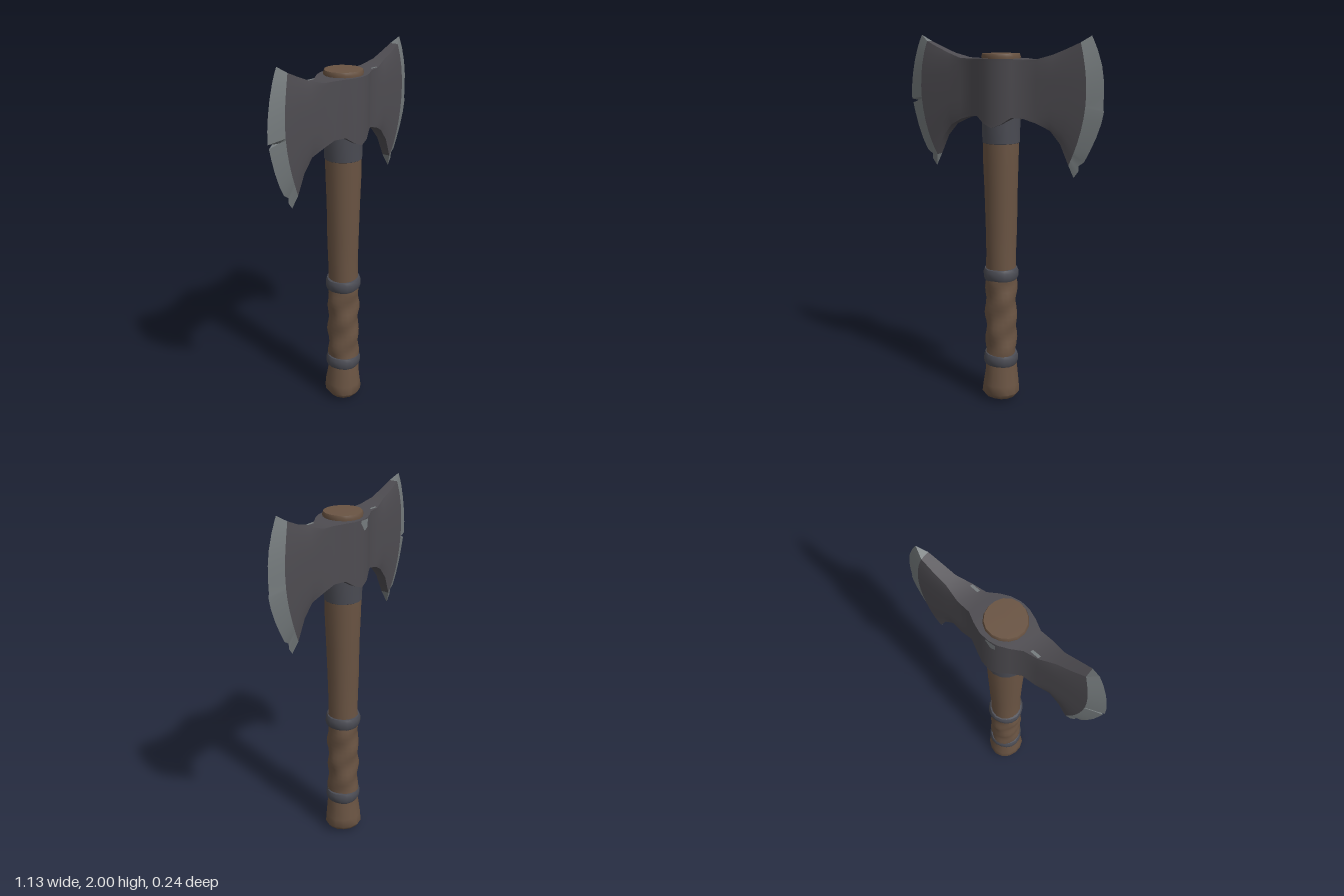
import * as THREE from 'three';
import { mergeVertices, toCreasedNormals } from 'three/addons/utils/BufferGeometryUtils.js';

const material = (name, color, side = THREE.FrontSide) => {
  const m = new THREE.MeshStandardMaterial({ color, side });
  m.name = name;
  return m;
};

// Lathe whose radius is roughened by a rule(angle, y)
function turned(profile, segments, rough = () => 0) {
  let geo = new THREE.LatheGeometry(profile.map(([r, y]) => new THREE.Vector2(r, y)), segments);
  geo.deleteAttribute('uv');
  geo.deleteAttribute('normal');
  const p = geo.attributes.position;
  for (let i = 0; i < p.count; i++) {
    const x = p.getX(i), y = p.getY(i), z = p.getZ(i), r = Math.hypot(x, z);
    if (r < 0.01) continue;
    const k = 1 + rough(Math.atan2(z, x), y) / r;
    p.setXYZ(i, x * k, y, z * k);
  }
  geo = mergeVertices(geo, 1e-4);
  return toCreasedNormals(geo, 0.8);
}

// Skin stretched over a row of closed cross-section loops
function skin(loops) {
  const n = loops[0].length, pos = loops.flat(2), index = [];
  for (let i = 0; i < loops.length - 1; i++) {
    for (let j = 0; j < n; j++) {
      const k = (j + 1) % n;
      const a = i * n + j, b = a + n, c = (i + 1) * n + k, d = i * n + k;
      index.push(a, b, c, a, c, d);
    }
  }
  const geo = new THREE.BufferGeometry();
  geo.setAttribute('position', new THREE.Float32BufferAttribute(pos, 3));
  geo.setIndex(index);
  return toCreasedNormals(geo, 0.6);
}

// Head sections from hub to cutting edge:
// bottom x, bottom y, top x, top y, outward bulge, half thickness
const BODY = [
  [0, 1.54, 0, 1.885, 0, 0.118],
  [0.05, 1.56, 0.05, 1.885, 0, 0.111],
  [0.1, 1.595, 0.1, 1.885, 0, 0.09],
  [0.15, 1.59, 0.15, 1.882, 0, 0.061],
  [0.22, 1.57, 0.22, 1.885, 0, 0.054],
  [0.29, 1.535, 0.3, 1.908, 0.005, 0.047],
  [0.345, 1.47, 0.375, 1.938, 0.025, 0.041],
  [0.39, 1.365, 0.442, 1.968, 0.062, 0.033],
];
const EDGE = [0.41, 1.3, 0.49, 2.0, 0.11, 0];
const ROWS = [0, 0.05, 0.09, 0.12, 0.2, 0.3, 0.4, 0.482, 0.496, 0.512, 0.6, 0.7, 0.8, 0.9, 0.96, 1];

function section([bx, by, tx, ty, bulge, t], side) {
  const front = ROWS.map((v, j) => {
    let x = bx + (tx - bx) * v + bulge * 4 * v * (1 - v);
    const y = by + (ty - by) * v;
    if (t === 0) {
      // worn cutting edge: small dents, a low nick and one deep notch
      x += 0.004 * Math.sin(j * 7.3 + side) * Math.sin(Math.PI * v);
      if (v === 0.09) x -= 0.018;
      if (side < 0 && v === 0.496) x = 0.488;
    }
    const taper = bx > 0.25 ? 1 - 0.3 * (2 * v - 1) ** 4 : 1;
    return [side * x, y, t * taper];
  });
  const back = front.map(([x, y, z]) => [x, y, -z]).reverse();
  return [...front, ...back];
}

export function createModel() {
  const wood = material('brown wood', 0x6a5443);
  const iron = material('dark iron', 0x4e4c51);
  const steel = material('worn steel', 0x757b7d);
  const strap = material('blue grey band', 0x4a4b53);

  const axe = new THREE.Group();
  axe.name = 'doubleAxe';
  const add = (name, geo, mat, parent = axe) => {
    const mesh = new THREE.Mesh(geo, mat);
    mesh.name = name;
    parent.add(mesh);
    return mesh;
  };

  // Handle
  const handle = new THREE.Group();
  handle.name = 'handle';
  handle.position.set(-0.005, 0, 0.003);
  axe.add(handle);

  add('pommel', turned([
    [0, 0.005], [0.055, 0.008], [0.085, 0.024], [0.104, 0.05], [0.1, 0.1], [0.09, 0.17], [0.084, 0.24],
  ], 14, (a, y) => 0.003 * Math.sin(3 * a + y * 20)), wood, handle);

  const gripProfile = [];
  for (let i = 0; i <= 20; i++) gripProfile.push([0.085, 0.23 + i * 0.026]);
  add('grip', turned(gripProfile, 20,
    (a, y) => 0.005 * Math.sin(2 * a + y * 42) + 0.002 * Math.sin(3 * a - y * 23)), wood, handle);

  add('shaft', turned([
    [0.083, 0.74], [0.081, 0.85], [0.085, 1.0], [0.089, 1.2], [0.094, 1.35], [0.096, 1.47],
    [0.097, 1.6], [0.098, 1.88], [0.102, 1.895], [0.097, 1.91], [0, 1.912],
  ], 16, (a, y) => 0.0015 * Math.sin(3 * a + y * 9)), wood, handle);

  // Bands round the grip
  for (const [name, y, tilt] of [['lowerBand', 0.248, -0.03], ['upperBand', 0.74, 0.03]]) {
    const band = add(name, turned([
      [0.078, -0.033], [0.089, -0.032], [0.096, -0.018], [0.097, 0.014], [0.09, 0.031], [0.078, 0.033],
    ], 18, (a, h) => 0.002 * Math.sin(4 * a + h * 30)), strap, handle);
    band.position.y = y;
    band.rotation.z = tilt;
  }

  // Socket under the head
  add('socket', turned([
    [0.09, 1.45], [0.099, 1.456], [0.1, 1.52], [0.103, 1.6], [0.09, 1.61],
  ], 16), strap, handle);

  // Head: one body running from blade to blade, with a bevel at each end
  const head = new THREE.Group();
  head.name = 'head';
  axe.add(head);
  const left = BODY.map((s) => section(s, 1));
  const right = BODY.slice(1).map((s) => section(s, -1)).reverse();
  add('headBody', skin([...right, ...left]), iron, head);
  const inner = BODY[BODY.length - 1];
  add('leftEdge', skin([section(inner, 1), section(EDGE, 1)]), steel, head);
  add('rightEdge', skin([section(EDGE, -1), section(inner, -1)]), steel, head);

  // Bare steel chips on the top and on the back of the hub
  const chip = (points) => new THREE.ShapeGeometry(
    new THREE.Shape(points.map(([x, y]) => new THREE.Vector2(x, y))));
  const topChip = [[-0.025, -0.006], [0.02, -0.009], [0.025, 0.004], [-0.02, 0.008]];
  for (const side of [1, -1]) {
    const mesh = add('topChip', chip(topChip), steel, head);
    mesh.rotation.x = -Math.PI / 2;
    mesh.position.set(side * 0.2, 1.8865, side * 0.042);
  }
  const backChip = add('hubChip', chip([[-0.025, 0.02], [0.005, -0.025], [0.03, -0.01], [0.03, 0.03], [-0.02, 0.03]]), steel, head);
  backChip.rotation.y = Math.PI;
  backChip.position.set(-0.01, 1.853, -0.1195);

  return axe;
}
